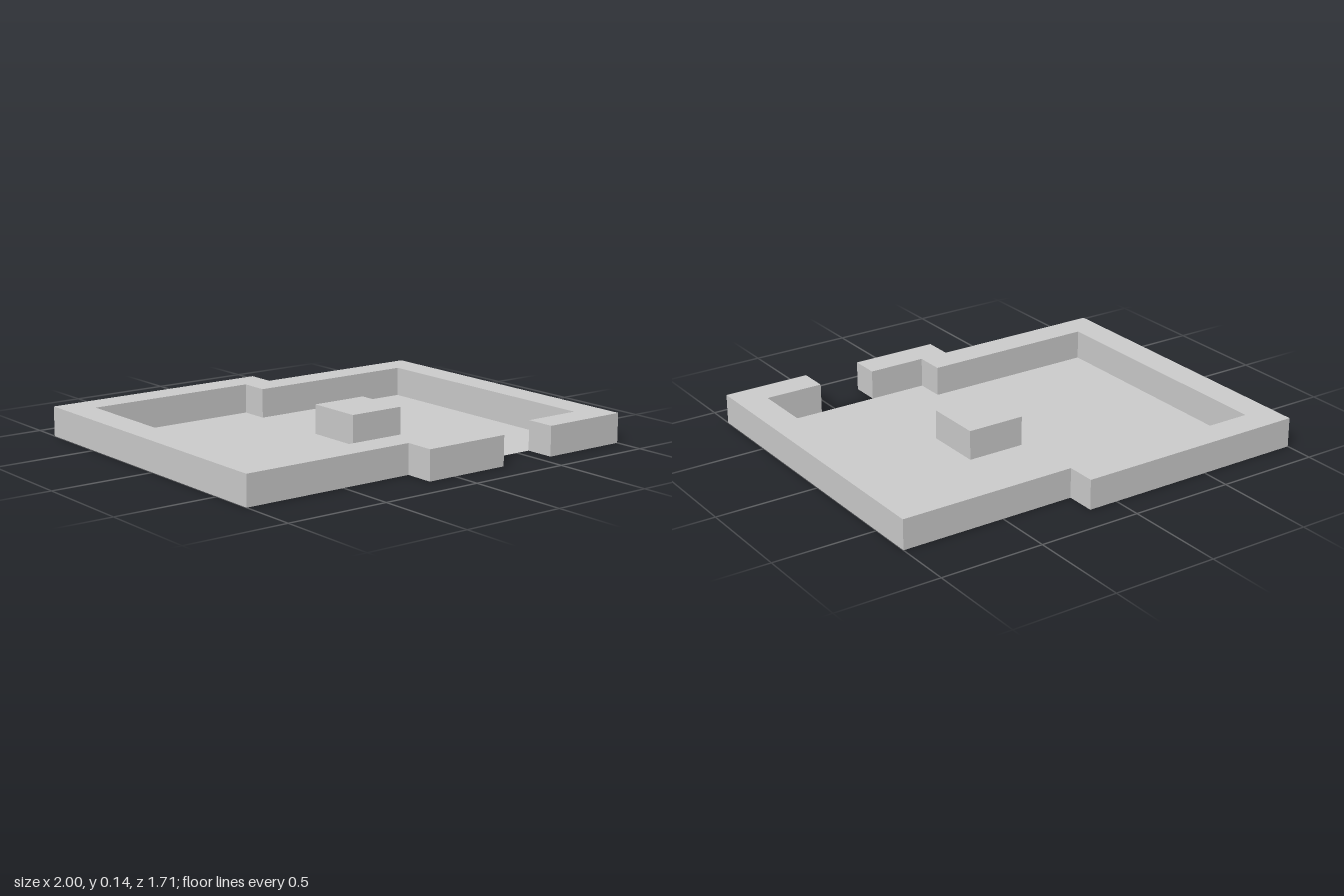
import * as THREE from 'three';

const U = 1 / 7; // plan grid unit; walls are one unit thick and one unit high

// Plan corners are [x, z] in grid units
const toPoints = (plan) => plan.map(([x, z]) => new THREE.Vector2(x * U, -z * U));

export function createModel() {
  const group = new THREE.Group();
  const material = new THREE.MeshStandardMaterial({ color: 0xcccccc, flatShading: true });
  const floorMaterial = material.clone();
  floorMaterial.side = THREE.DoubleSide;

  const add = (name, geometry, mat = material) => {
    geometry.rotateX(-Math.PI / 2); // lay the plan flat, extrusion upwards
    const mesh = new THREE.Mesh(geometry, mat);
    mesh.name = name;
    group.add(mesh);
  };
  const raise = (plan) =>
    new THREE.ExtrudeGeometry(new THREE.Shape(toPoints(plan)), { depth: U, bevelEnabled: false });

  // Inner face of the wall, from the right of the doorway round to its left
  const inner = [
    [4, 5], [6, 5], [6, -4], [0, -4], [0, -5], [-6, -5], [-6, 4], [0, 4], [0, 5], [2, 5],
  ];
  // Outer face, continuing from the left of the doorway back to its right
  const outer = [
    [2, 6], [-1, 6], [-1, 5], [-7, 5], [-7, -6], [1, -6], [1, -5], [7, -5], [7, 6], [4, 6],
  ];
  const pillar = [[0, -1], [2, -1], [2, 1], [0, 1]];

  // One continuous stepped wall with a doorway gap at the front
  add('wall', raise([...inner, ...outer]));

  // Central block
  add('pillar', raise(pillar));

  // Thin floor sheet filling the room around the block
  const floor = new THREE.Shape(toPoints(inner));
  floor.holes.push(new THREE.Path(toPoints(pillar)));
  add('floor', new THREE.ShapeGeometry(floor), floorMaterial);

  return group;
}
